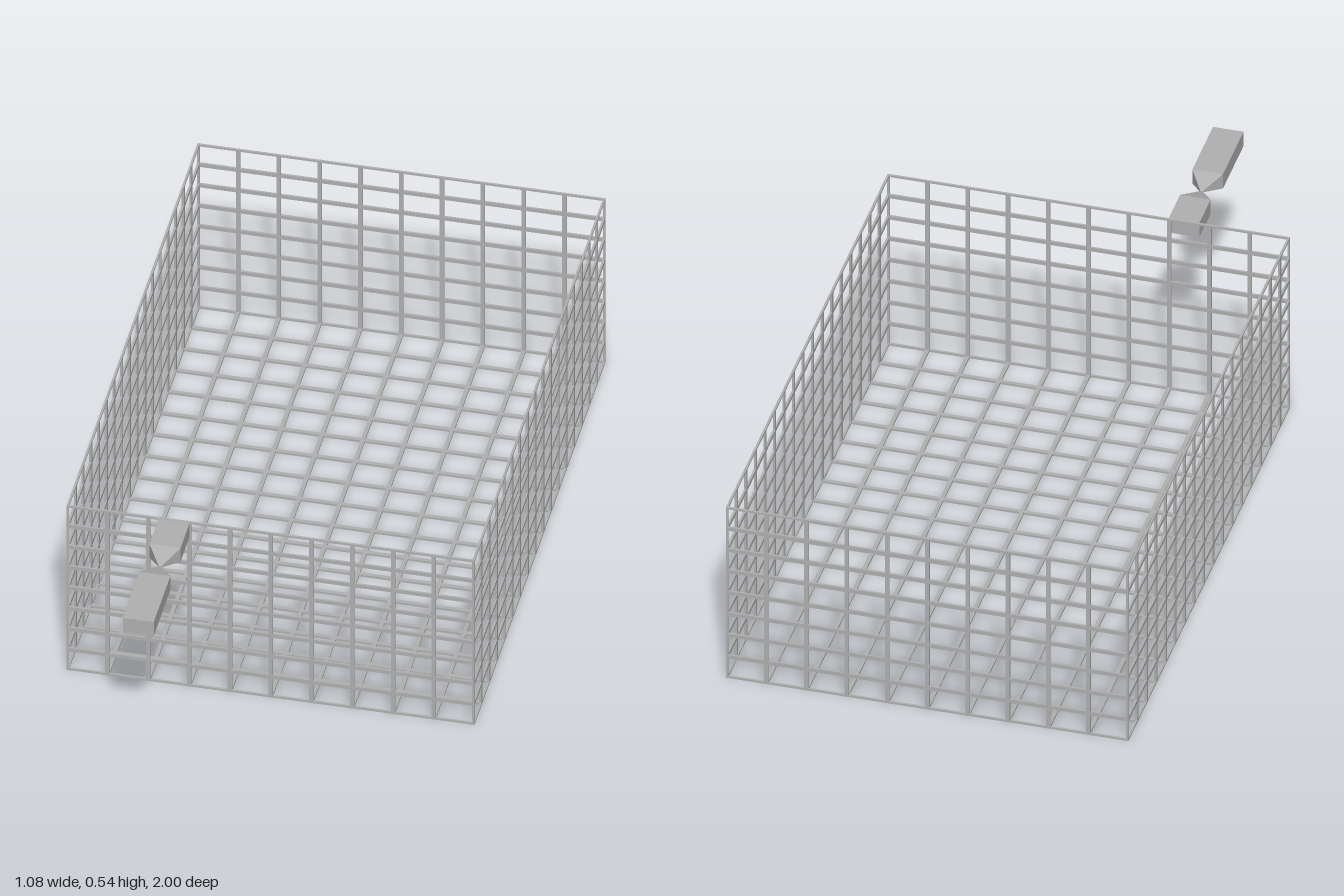
import * as THREE from 'three';

const W = 1.08, H = 0.536, BACK = -1, FRONT = 0.57;
const D = FRONT - BACK, MID = (FRONT + BACK) / 2;
const BAR = 0.011, THICK = 0.006;

// Flat lattice panel, centred, with nx by ny openings
function lattice(w, h, nx, ny) {
  const rect = (P, x0, y0, x1, y1) => {
    const p = new P();
    p.moveTo(x0, y0);
    p.lineTo(x1, y0);
    p.lineTo(x1, y1);
    p.lineTo(x0, y1);
    p.closePath();
    return p;
  };
  const shape = rect(THREE.Shape, -w / 2, -h / 2, w / 2, h / 2);
  const px = w / nx, py = h / ny, b = BAR / 2;
  for (let i = 0; i < nx; i++) {
    for (let j = 0; j < ny; j++) {
      const x = -w / 2 + i * px, y = -h / 2 + j * py;
      shape.holes.push(rect(THREE.Path, x + b, y + b, x + px - b, y + py - b));
    }
  }
  const g = new THREE.ExtrudeGeometry(shape, { depth: THICK, bevelEnabled: false });
  return g.translate(0, 0, -THICK / 2);
}

// Square bar along z whose cross-section is pinched to a narrow neck
function pinchedBar(w, h, sections) {
  const n = sections.length - 1;
  const g = new THREE.BoxGeometry(w, h, 1, 1, 1, n);
  const p = g.attributes.position;
  for (let i = 0; i < p.count; i++) {
    const [z, s] = sections[Math.round((p.getZ(i) + 0.5) * n)];
    p.setXYZ(i, p.getX(i) * s, p.getY(i) * s, z);
  }
  const flat = g.toNonIndexed();
  flat.computeVertexNormals();
  return flat;
}

export function createModel() {
  const model = new THREE.Group();
  model.name = 'wireBasket';
  const metal = new THREE.MeshStandardMaterial({ color: 0xb0b0b0 });
  metal.name = 'grey metal';

  const add = (name, geometry, x, y, z) => {
    const mesh = new THREE.Mesh(geometry, metal);
    mesh.name = name;
    mesh.position.set(x, y, z);
    model.add(mesh);
    return mesh;
  };

  // Basket walls and floor
  const t = THICK / 2;
  const endWall = lattice(W, H, 10, 8);
  add('frontWall', endWall, 0, H / 2, FRONT - t);
  add('backWall', endWall, 0, H / 2, BACK + t);
  const sideWall = lattice(D, H, 17, 8).rotateY(Math.PI / 2);
  add('leftWall', sideWall, W / 2 - t, H / 2, MID);
  add('rightWall', sideWall, -W / 2 + t, H / 2, MID);
  add('floor', lattice(W, D, 10, 17).rotateX(-Math.PI / 2), 0, t, MID);

  // Handle with a pinched neck
  const sections = [[FRONT, 1], [0.68, 1], [0.74, 0.08], [0.8, 1], [1, 1]];
  add('handle', pinchedBar(0.082, 0.045, sections), -0.255, 0.5125, 0);

  return model;
}
